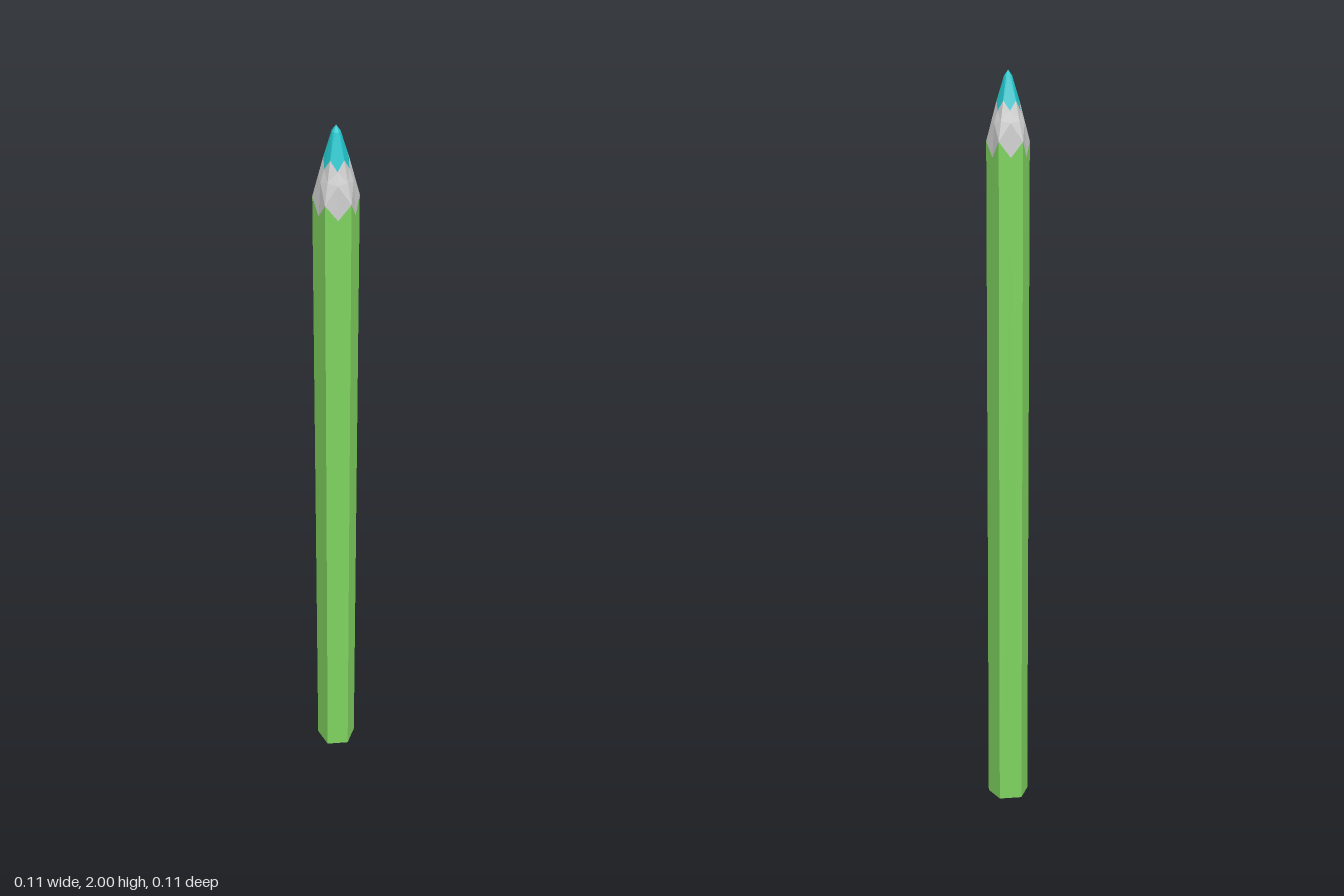
import * as THREE from 'three';

// Hexagonal section: corners and face middles alternate, counter-clockwise seen from above
const CORNERS = [[0.056, 0], [0.031, -0.055], [-0.031, -0.055], [-0.056, 0], [-0.031, 0.055], [0.031, 0.055]];
const SECTION = CORNERS.flatMap((c, i) => {
  const n = CORNERS[(i + 1) % 6];
  return [c, [(c[0] + n[0]) / 2, (c[1] + n[1]) / 2]];
});

// A ring has its own height and scale at the corners and at the face middles
function ring(cornerY, cornerScale, midY, midScale) {
  return SECTION.map(([x, z], i) => {
    const s = i % 2 ? midScale : cornerScale;
    return [x * s, i % 2 ? midY : cornerY, z * s];
  });
}

// Skin consecutive rings, listed from bottom to top, into one faceted mesh
function loft(name, color, rings) {
  const positions = [];
  for (let r = 0; r < rings.length - 1; r++) {
    const lo = rings[r], hi = rings[r + 1];
    for (let i = 0; i < 12; i++) {
      const j = (i + 1) % 12;
      // mirror the diagonals so every face stays symmetric
      const tris = i % 2
        ? [lo[i], lo[j], hi[i], lo[j], hi[j], hi[i]]
        : [lo[i], lo[j], hi[j], lo[i], hi[j], hi[i]];
      positions.push(...tris.flat());
    }
  }
  const geometry = new THREE.BufferGeometry();
  geometry.setAttribute('position', new THREE.Float32BufferAttribute(positions, 3));
  geometry.computeVertexNormals();
  const mesh = new THREE.Mesh(geometry, new THREE.MeshStandardMaterial({ color, flatShading: true }));
  mesh.name = name;
  return mesh;
}

export function createModel() {
  const group = new THREE.Group();
  group.name = 'pencil';

  const paintEdge = ring(1.825, 1, 1.785, 1);
  const shoulder = ring(1.875, 0.76, 1.87, 0.89);
  const leadEdge = ring(1.925, 0.52, 1.9, 0.67);

  // painted barrel with a closed bottom and a scalloped upper edge
  group.add(loft('barrel', 0x7fd35f, [ring(0, 0, 0, 0), ring(0, 1, 0, 1), paintEdge]));
  // sharpened wood
  group.add(loft('sharpenedWood', 0xcccccc, [paintEdge, shoulder, leadEdge]));
  // coloured lead with a blunt point
  group.add(loft('lead', 0x22c5cc, [leadEdge, ring(1.985, 0.19, 1.985, 0.22), ring(2, 0, 2, 0)]));
  return group;
}
